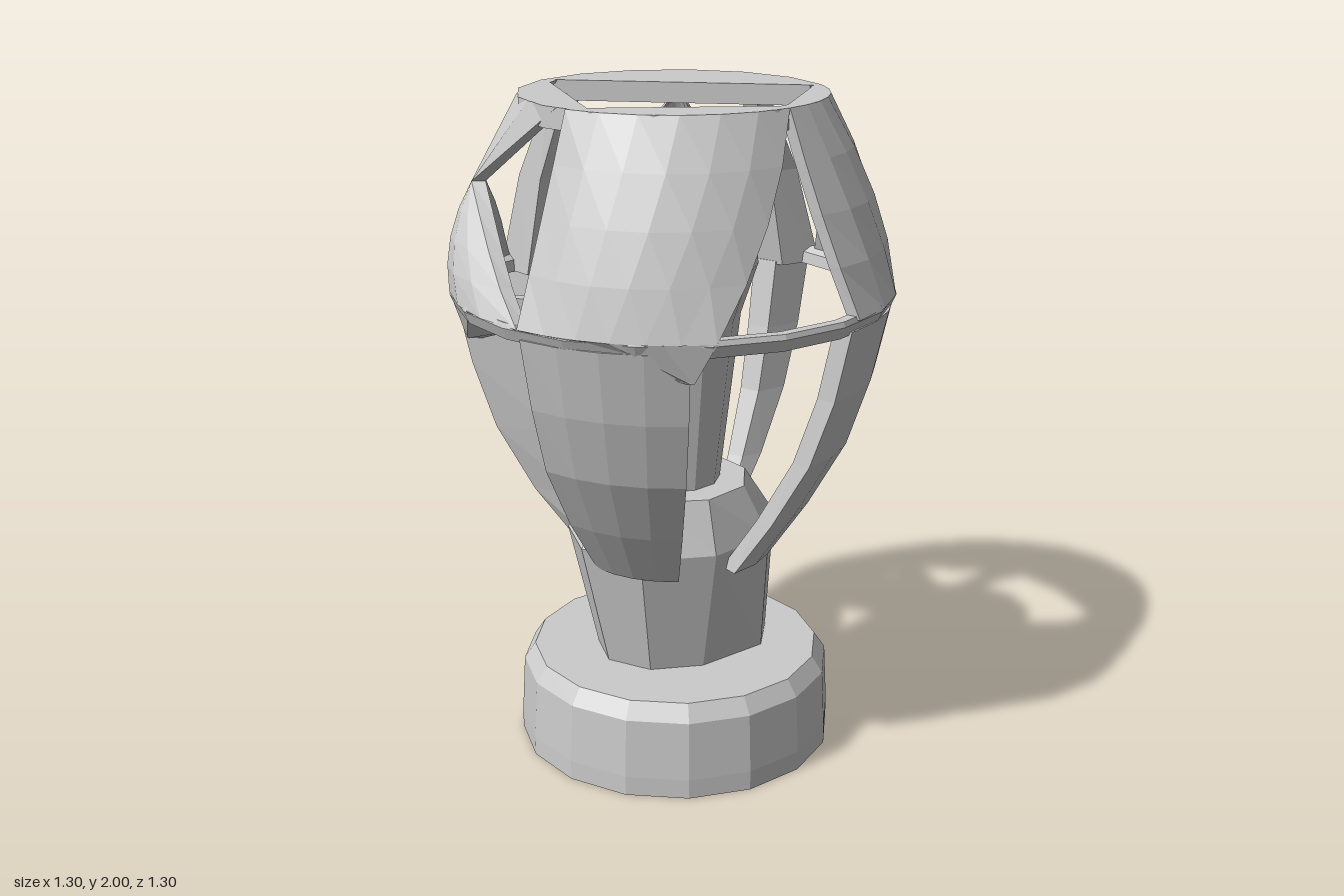
import * as THREE from 'three';

const material = new THREE.MeshStandardMaterial({ color: 0xcccccc, flatShading: true });
const RAD = Math.PI / 180;

function add(parent, name, geometry) {
  const mesh = new THREE.Mesh(geometry, material);
  mesh.name = name;
  parent.add(mesh);
  return mesh;
}

// Curved slab round the axis. Rows run top to bottom:
// [y, radius, startAngle, endAngle, thickness, sag of the side edges, inner angle offset].
// Angles are degrees from the front (+z) towards +x.
function slab(rows, columns) {
  const loops = rows.map(([y, r, a0, a1, t, sag = 0, skew = 0]) => {
    const outer = [], inner = [];
    for (let j = 0; j <= columns; j++) {
      const s = j / columns, a = (a0 + (a1 - a0) * s) * RAD, b = a + skew * RAD;
      const ro = r - sag * (2 * s - 1) ** 2, ri = ro - t;
      outer.push([ro * Math.sin(a), y, ro * Math.cos(a)]);
      inner.unshift([ri * Math.sin(b), y, ri * Math.cos(b)]);
    }
    return outer.concat(inner);
  });
  const n = 2 * (columns + 1), last = loops.length - 1, out = [];
  const quad = (a, b, c, d) => [a, b, c, a, c, d].forEach(p => out.push(...p));
  for (let i = 0; i < last; i++) {
    for (let k = 0; k < n; k++) {
      const m = (k + 1) % n;
      quad(loops[i][k], loops[i + 1][k], loops[i + 1][m], loops[i][m]);
    }
  }
  for (let j = 0; j < columns; j++) {
    const top = loops[0], low = loops[last];
    quad(top[j], top[j + 1], top[n - 2 - j], top[n - 1 - j]);
    quad(low[n - 1 - j], low[n - 2 - j], low[j + 1], low[j]);
  }
  const g = new THREE.BufferGeometry();
  g.setAttribute('position', new THREE.Float32BufferAttribute(out, 3));
  g.computeVertexNormals();
  return g;
}

function lathe(points, sides) {
  return new THREE.LatheGeometry(points.map(p => new THREE.Vector2(...p)), sides);
}

export function createModel() {
  const group = new THREE.Group();

  // Foot with a small chamfer
  const base = add(group, 'base', lathe([[0, 0], [0.484, 0], [0.484, 0.06], [0.474, 0.24], [0.44, 0.29], [0, 0.29]], 16));
  base.position.set(0.014, 0, -0.01);

  // Stem: flares upward, oval, one lower corner is drawn out to the front left
  const stem = lathe([[0, 0.27], [0.24, 0.28], [0.335, 0.68], [0.23, 0.84], [0, 0.84]], 9);
  const p = stem.attributes.position;
  for (let i = 0; i < p.count; i++) {
    const x = p.getX(i), z = p.getZ(i), y = p.getY(i);
    if (y < 0.3 && x > 0.1 && z > -0.05) p.setX(i, x + 0.075);
    if (y < 0.7) p.setZ(i, z * 0.83);
  }
  stem.computeVertexNormals();
  add(group, 'stem', stem);

  // Tapered core with a domed head
  add(group, 'core', lathe([[0, 0.8], [0.14, 0.82], [0.2, 1.35], [0.25, 1.5], [0.235, 1.61], [0.15, 1.71], [0, 1.78]], 11));

  // Top plate with a four-cornered opening
  const rim = new THREE.Shape();
  for (let i = 0; i < 16; i++) {
    const a = (i + 0.5) * Math.PI / 8;
    rim[i ? 'lineTo' : 'moveTo'](0.445 * Math.cos(a), 0.445 * Math.sin(a));
  }
  rim.closePath();
  const hole = [[-0.23, 0.37], [0.41, -0.09], [0.14, -0.39], [-0.35, -0.18]];
  rim.holes.push(new THREE.Path(hole.map(q => new THREE.Vector2(...q))));
  const plate = new THREE.ExtrudeGeometry(rim, { depth: 0.06, bevelEnabled: false });
  plate.rotateX(-Math.PI / 2);
  plate.translate(0, 1.94, 0);
  add(group, 'topPlate', plate);

  // Thin hoop round the widest part
  add(group, 'hoop', slab([[1.45, 0.645, 0, 360, 0.03], [1.435, 0.65, 0, 360, 0.06], [1.4, 0.635, 0, 360, 0.05]], 20));

  // Upper panels: [name, top y, top radius, top angles, bottom angles, edge sag]
  const upper = [
    ['upperPanelLeft', 2, 0.445, 17, 77, 24, 106, 0.035],
    ['upperPanelRight', 2, 0.445, -67, 17, -67, -17, 0.03],
    ['trianglePanelBack', 1.93, 0.5, 150, 152, 119, 197, 0.055],
    ['trianglePanelRight', 1.75, 0.575, 245, 247, 209, 293, 0.07],
  ];
  for (const [name, y, r, a0, a1, b0, b1, sag] of upper) {
    const rows = [0, 0.25, 0.5, 0.75, 1].map(s => {
      const bow = 4 * s * (1 - s);
      return [
        y + (1.44 - y) * s, r + (0.65 - r) * s + 0.028 * bow,
        a0 + (b0 - a0) * s, a1 + (b1 - a1) * s, 0.04, sag * bow,
      ];
    });
    add(group, name, slab(rows, 6));
  }

  // Pointed webs: from the plate down to the triangle tips, and hanging below the hoop
  const web = (name, y0, r0, a0, a1, y1, r1, tip) =>
    add(group, name, slab([[y0, r0, a0, a1, 0.04], [y1, r1, tip - 1, tip + 1, 0.04]], 4));
  web('tipWebRight', 2, 0.44, 211, 288, 1.75, 0.575, 246);
  web('tipWebBack', 1.99, 0.44, 120, 193, 1.92, 0.5, 151);
  web('hangingWebRight', 1.44, 0.65, 209, 293, 1.27, 0.61, 241);
  web('hangingWebBack', 1.44, 0.65, 119, 197, 1.36, 0.635, 163);
  web('hangingWebFront', 1.44, 0.65, -67, -17, 1.33, 0.63, -23);

  // Broad lower panels at the front
  const profile = [[1.41, 0.64], [1.2, 0.595], [1.0, 0.53], [0.8, 0.42], [0.62, 0.3]];
  const broad = (name, a0, a1, b0, b1) => add(group, name, slab(profile.map(([y, r], i) => {
    const s = (i / 4) ** 2;
    return [y, r, a0 + (b0 - a0) * s, a1 + (b1 - a1) * s, 0.06];
  }), 4));
  broad('lowerPanelLeft', 22, 69, 10, 80);
  broad('lowerPanelRight', -67, -23, -76, -24);

  // Narrow ribs below the hoop
  const depths = [0.26, 0.24, 0.2, 0.14, 0.06];
  const rib = (name, angle, half, depth, skew) => add(group, name, slab(profile.map(([y, r], i) =>
    [y + (i === 4 ? 0.02 : 0), r, angle - half, angle + half, depths[i] * depth, 0, skew]), 1));
  rib('ribBack', 163, 2.5, 1, 10);
  rib('ribRight', 241, 2.5, 0.9, 10);
  rib('ribLeftLower', 115, 4.5, 0.5, 3);
  rib('ribBackRightLower', 205, 5, 1, 3);

  // Two of the ribs carry on up to the top plate
  for (const [name, a0, a1, top0] of [['ribLeftUpper', 107, 119, 113], ['ribBackRightUpper', 197, 209, 199]]) {
    add(group, name, slab([
      [1.96, 0.44, top0, a1 + 1, 0.06],
      [1.7, 0.565, (a0 + top0) / 2, a1, 0.1, 0, 3],
      [1.4, 0.645, a0, a1, 0.13, 0, 4],
    ], 1));
  }
  return group;
}
